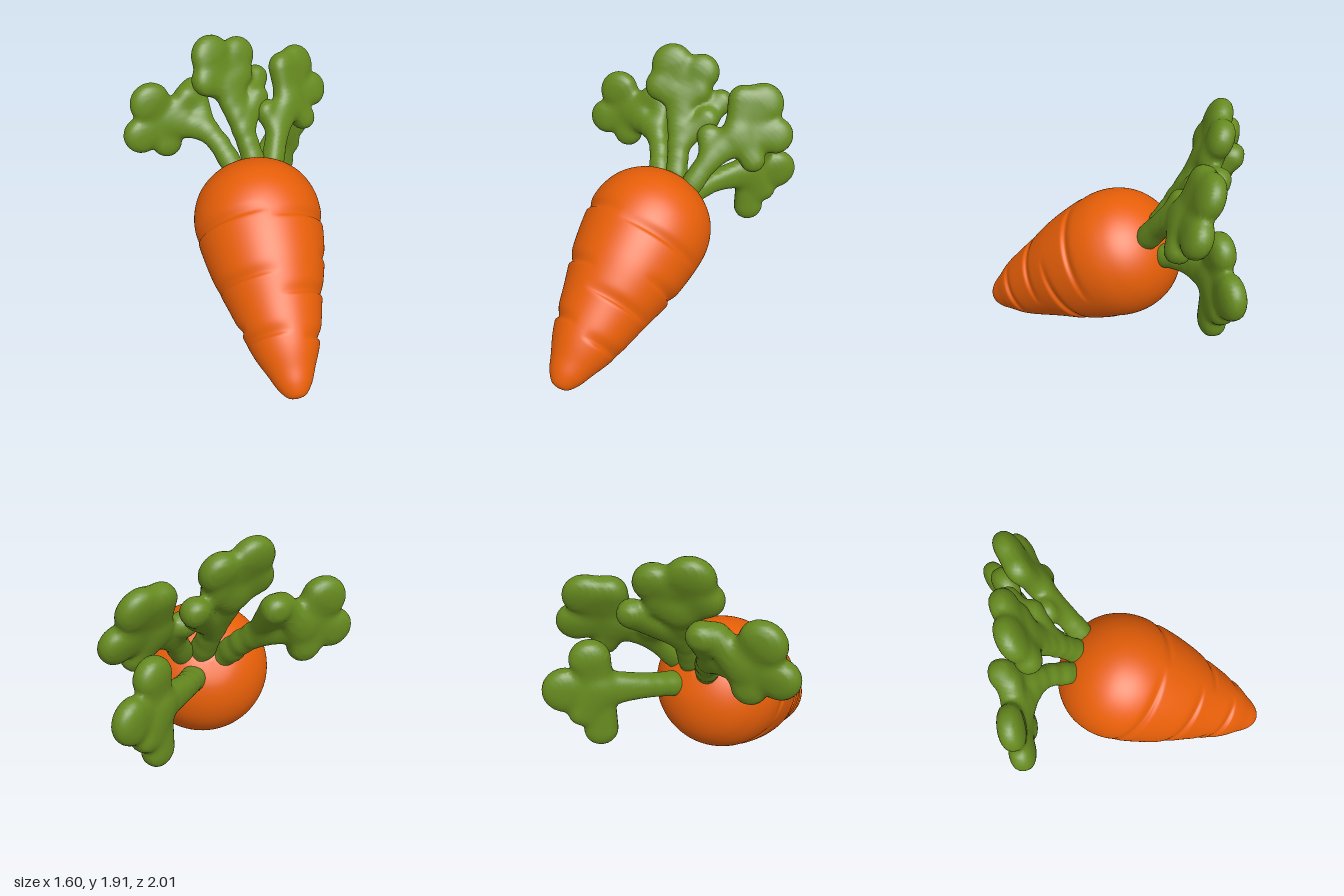
import * as THREE from 'three';
import { mergeVertices } from 'three/addons/utils/BufferGeometryUtils.js';

const orange = new THREE.MeshStandardMaterial({ color: 0xe85f08 });
orange.name = 'carrotOrange';
const green = new THREE.MeshStandardMaterial({ color: 0x668a1f });
green.name = 'leafGreen';

const vec = (p) => new THREE.Vector3(...p);
const UP = vec([0, 1, 0]);

// Root frame: local y runs from the tip to the crown, local z is the upper side
const TIP = vec([-0.255, 0.11, 0.9]);
const AXIS = vec([0.165, 0.54, -0.826]).normalize();

// Root profile: radius, distance along the axis
const PROFILE = [
  [0, -0.115], [0.06, -0.1], [0.115, -0.035], [0.16, 0.06], [0.237, 0.23], [0.322, 0.52], [0.41, 0.82],
  [0.457, 1.15], [0.42, 1.35], [0.32, 1.49], [0.17, 1.58], [0, 1.605],
];

// Creases: distance along the axis, middle angle in degrees
const CREASES = [
  [1.08, 145], [1.03, 35], [1.03, 255], [0.68, 145], [0.76, -15], [0.53, 40],
  [0.6, 258], [0.3, 140], [0.24, 15], [0.38, 210],
];
const CREASE_HALF_ANGLE = 54;

function creaseDepth(s, degrees) {
  let depth = 0;
  for (const [s0, middle] of CREASES) {
    const turn = ((degrees - middle + 540) % 360 + 360) % 360 - 180;
    const fade = 1 - (turn / CREASE_HALF_ANGLE) ** 2;
    if (fade <= 0) continue;
    const d = s - s0;
    const width = d > 0 ? 0.045 : 0.016; // steep lip towards the tip, soft towards the crown
    depth = Math.max(depth, 0.023 * fade * Math.exp(-((d / width) ** 2)));
  }
  return depth;
}

function rootGeometry() {
  const curve = new THREE.SplineCurve(PROFILE.map(([r, s]) => new THREE.Vector2(r, s)));
  const points = curve.getSpacedPoints(220).map((p) => new THREE.Vector2(Math.max(0, p.x), p.y));
  let geometry = new THREE.LatheGeometry(points, 96);
  geometry.deleteAttribute('uv');
  geometry.deleteAttribute('normal');
  geometry = mergeVertices(geometry, 1e-5);
  const pos = geometry.attributes.position;
  for (let i = 0; i < pos.count; i++) {
    const x = pos.getX(i), s = pos.getY(i), z = pos.getZ(i);
    const r = Math.hypot(x, z);
    if (r < 0.02) continue;
    const scale = 1 - creaseDepth(s, THREE.MathUtils.radToDeg(Math.atan2(z, x))) / r;
    pos.setXYZ(i, x * scale, s, z * scale);
  }
  geometry.computeVertexNormals();
  return geometry;
}

// Leaves: the stalk runs base, bend, hub; lobes are [angle, reach] in the leaf plane, largest first;
// small leaflets grow from the bend
const LEAVES = [
  {
    name: 'middleLeaf', normal: [0.22, 0.32, 0.92],
    stalk: [[0.05, 0.98, -0.32], [0.02, 1.25, -0.47], [-0.02, 1.53, -0.63]],
    lobes: [[109, 0.26], [58, 0.24], [150, 0.19], [28, 0.13]],
    leaflets: [[0.24, 1.51, -0.74], [0.18, 1.42, -0.6]],
  },
  {
    name: 'rightLeaf', normal: [0.03, 0.12, 1],
    stalk: [[-0.09, 0.98, -0.38], [-0.2, 1.22, -0.6], [-0.44, 1.32, -0.73]],
    lobes: [[131, 0.2], [196, 0.24], [252, 0.17], [45, 0.2]],
    leaflets: [[-0.23, 1.48, -0.8]],
  },
  {
    name: 'leftUpperLeaf', normal: [0.36, 0.35, 0.86],
    stalk: [[0.16, 0.99, -0.29], [0.27, 1.19, -0.42], [0.43, 1.35, -0.57]],
    lobes: [[52, 0.28], [0, 0.265], [82, 0.25], [-58, 0.205]],
    leaflets: [[0.23, 1.33, -0.52]],
  },
  {
    name: 'leftLowerLeaf', normal: [0.5, 0, 0.85],
    stalk: [[0.1, 0.86, -0.37], [0.27, 0.93, -0.6], [0.48, 0.96, -0.78]],
    lobes: [[2, 0.21], [78, 0.22], [273, 0.3], [-52, 0.2]],
    leaflets: [],
  },
];

// Lists the limbs of a leaf: ends a and b, their radii, and how much the limb is flattened
function leafLimbs({ stalk, lobes, leaflets }, normal) {
  const [base, bend, hub] = stalk.map(vec);
  const across = new THREE.Vector3().crossVectors(UP, normal).normalize();
  const along = new THREE.Vector3().crossVectors(normal, across);
  const stalkRadius = (t) => 0.076 - 0.016 * Math.sin(Math.PI * t) + 0.044 * t * t;
  const limbs = [];
  const path = new THREE.CatmullRomCurve3([base, bend, hub]).getPoints(6);
  for (let i = 0; i < 6; i++) {
    const t = i / 6;
    limbs.push({ a: path[i], b: path[i + 1], ra: stalkRadius(t), rb: stalkRadius(t + 1 / 6), squeeze: 1 + 0.9 * t * t });
  }
  lobes.forEach(([degrees, reach], i) => {
    const angle = THREE.MathUtils.degToRad(degrees);
    const tip = hub.clone().addScaledVector(across, reach * Math.cos(angle)).addScaledVector(along, reach * Math.sin(angle));
    const rb = 0.15 - 0.02 * i;
    limbs.push({ a: hub, b: tip, ra: 0.09, rb, squeeze: rb / 0.08 });
  });
  for (const end of leaflets) limbs.push({ a: bend, b: vec(end), ra: 0.055, rb: 0.09, squeeze: 1.15 });
  return limbs;
}

// Distance to a tapered limb with a rounded plate section, squeezed along the leaf normal
function limbDistance(p, { a, b, ra, rb, squeeze }, normal) {
  const limb = b.clone().sub(a), offset = p.clone().sub(a);
  const t = THREE.MathUtils.clamp(offset.dot(limb) / limb.lengthSq(), 0, 1);
  offset.addScaledVector(limb, -t);
  const lift = offset.dot(normal);
  const spread = offset.addScaledVector(normal, -lift).length();
  return (spread ** 2.5 + Math.abs(lift * squeeze) ** 2.5) ** 0.4 - THREE.MathUtils.lerp(ra, rb, t);
}

// Smooth union of all limbs
function leafField(limbs, normal) {
  const blend = 0.045;
  return (p) => limbs.reduce((d, limb) => {
    const e = limbDistance(p, limb, normal);
    const h = Math.max(0, blend - Math.abs(d - e)) / blend;
    return Math.min(d, e) - h * h * blend / 4;
  }, 10);
}

// Skins a distance field: one vertex per crossed cell, one quad per crossed grid edge
function skinField(field, box, step) {
  const min = box.min.toArray();
  const size = box.getSize(new THREE.Vector3()).toArray().map((v) => Math.ceil(v / step) + 1);
  const stride = [1, size[0], size[0] * size[1]];
  const values = new Float32Array(size[0] * size[1] * size[2]);
  const eachCell = (visit) => {
    for (let k = 0; k < size[2]; k++)
      for (let j = 0; j < size[1]; j++)
        for (let i = 0; i < size[0]; i++) visit([i, j, k], i + j * stride[1] + k * stride[2]);
  };
  eachCell((c, id) => { values[id] = field(vec(c).multiplyScalar(step).add(box.min)); });
  const vertexOf = new Map(), positions = [], indices = [];
  eachCell((c, id) => {
    if (c.some((v, a) => v >= size[a] - 1)) return;
    const sum = [0, 0, 0];
    let hits = 0;
    for (let corner = 0; corner < 8; corner++) {
      const o = [corner & 1, (corner >> 1) & 1, corner >> 2];
      for (let a = 0; a < 3; a++) {
        if (o[a]) continue;
        const start = id + o[0] + o[1] * stride[1] + o[2] * stride[2];
        const v0 = values[start], v1 = values[start + stride[a]];
        if (v0 < 0 === v1 < 0) continue;
        for (let b = 0; b < 3; b++) sum[b] += o[b] + (b === a ? v0 / (v0 - v1) : 0);
        hits++;
      }
    }
    if (!hits) return;
    vertexOf.set(id, positions.length / 3);
    for (let a = 0; a < 3; a++) positions.push(min[a] + (c[a] + sum[a] / hits) * step);
  });
  eachCell((c, id) => {
    for (let a = 0; a < 3; a++) {
      const b = (a + 1) % 3, d = (a + 2) % 3;
      if (c[a] >= size[a] - 1 || !c[b] || !c[d]) continue;
      const inside = values[id] < 0;
      if (inside === values[id + stride[a]] < 0) continue;
      const q = [id, id - stride[b], id - stride[b] - stride[d], id - stride[d]].map((v) => vertexOf.get(v));
      if (!inside) q.reverse();
      indices.push(q[0], q[1], q[2], q[0], q[2], q[3]);
    }
  });
  const geometry = new THREE.BufferGeometry();
  geometry.setAttribute('position', new THREE.Float32BufferAttribute(positions, 3));
  geometry.setIndex(indices);
  geometry.computeVertexNormals();
  return geometry;
}

function leafMesh(leaf) {
  const normal = vec(leaf.normal).normalize();
  const limbs = leafLimbs(leaf, normal);
  const box = new THREE.Box3().setFromPoints(limbs.flatMap(({ a, b }) => [a, b])).expandByScalar(0.2);
  const mesh = new THREE.Mesh(skinField(leafField(limbs, normal), box, 0.018), green);
  mesh.name = leaf.name;
  return mesh;
}

export function createModel() {
  const model = new THREE.Group();
  model.name = 'carrot';
  const root = new THREE.Mesh(rootGeometry(), orange);
  root.name = 'root';
  const side = new THREE.Vector3().crossVectors(AXIS, UP).normalize();
  const upper = new THREE.Vector3().crossVectors(side, AXIS);
  root.quaternion.setFromRotationMatrix(new THREE.Matrix4().makeBasis(side, AXIS, upper));
  root.position.copy(TIP);
  model.add(root, ...LEAVES.map(leafMesh));
  return model;
}
